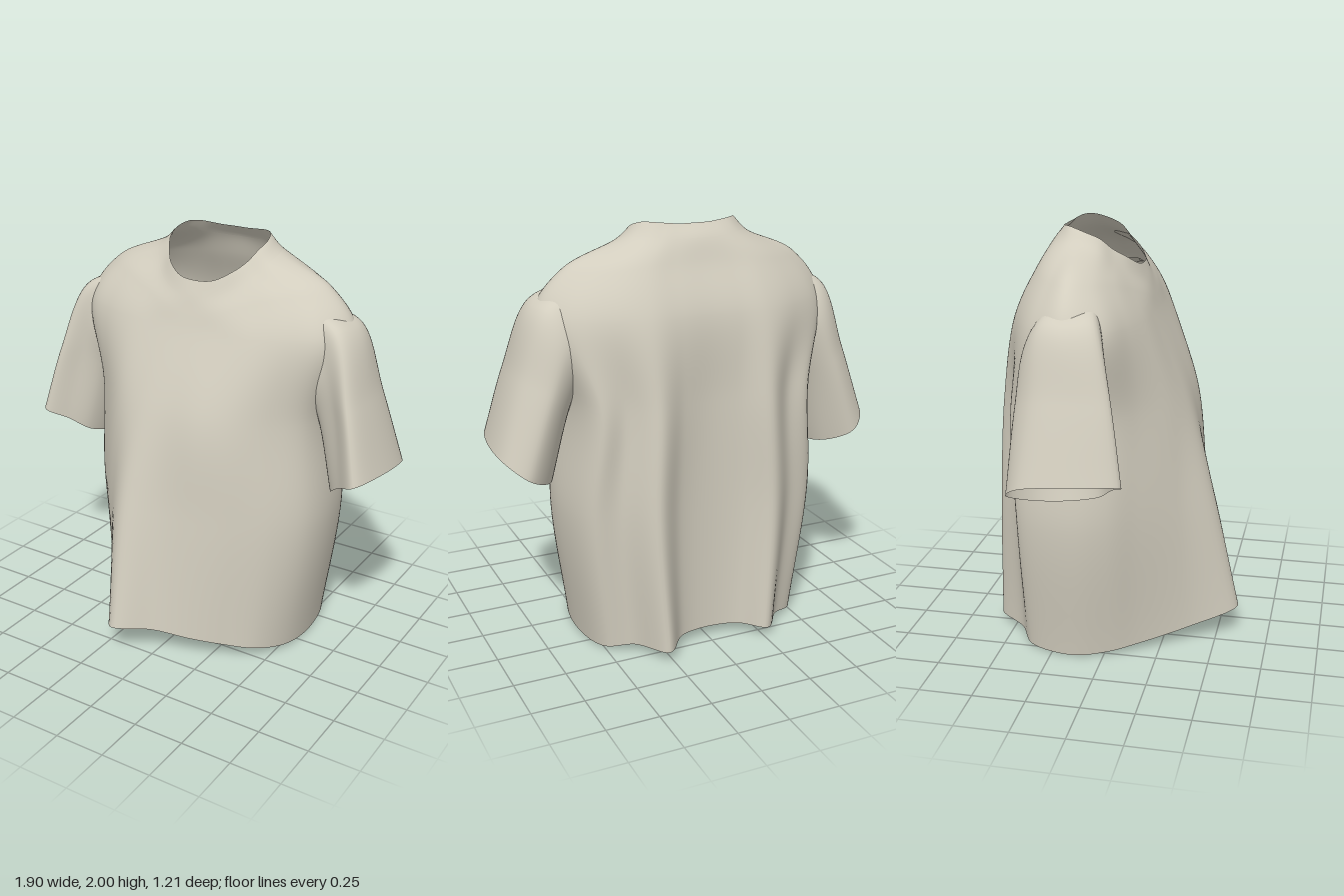
import * as THREE from 'three';

const V = (p) => new THREE.Vector3(...p);

// Smooth surface through closed rings, listed bottom to top, between ring indices from..to
function loft(rings, cols, rowsPerRing, from = 0, to = rings.length - 1) {
  const loops = rings.map((r) => new THREE.CatmullRomCurve3(r.map(V), true));
  const rows = Math.round((to - from) * rowsPerRing);
  const pos = [], index = [];
  for (let j = 0; j < cols; j++) {
    const column = new THREE.CatmullRomCurve3(loops.map((l) => l.getPoint(j / cols)));
    for (let i = 0; i <= rows; i++) {
      const t = (from + (i / rows) * (to - from)) / (rings.length - 1);
      pos.push(...column.getPoint(Math.min(t, 1)).toArray());
    }
  }
  const at = (j, i) => (j % cols) * (rows + 1) + i;
  for (let j = 0; j < cols; j++) {
    for (let i = 0; i < rows; i++) {
      const a = at(j, i), b = at(j + 1, i), c = at(j + 1, i + 1), d = at(j, i + 1);
      index.push(a, b, c, a, c, d);
    }
  }
  const g = new THREE.BufferGeometry();
  g.setAttribute('position', new THREE.Float32BufferAttribute(pos, 3));
  g.setIndex(index);
  g.computeVertexNormals();
  return g;
}

const flip = ([x, y, z]) => [-x, y, z];
// Completes a half ring that runs from front centre to back centre
const mirrored = (half) => [...half, ...half.slice(1, -1).reverse().map(flip)];
const level = (y, half) => mirrored(half.map(([x, z]) => [x, y, z]));

// Wavy bottom edge with an off-centre front fold and two deep back folds
const hem = [
  [0, 0.14, 0.5], [0.17, 0.11, 0.43], [0.3, 0.085, 0.36], [0.45, 0.05, 0.25], [0.535, 0.015, 0.08],
  [0.55, 0, -0.15], [0.5, 0.012, -0.36], [0.38, 0.035, -0.44], [0.27, 0.05, -0.605], [0.15, 0.05, -0.48],
  [0, 0.05, -0.45], [-0.15, 0.05, -0.48], [-0.26, 0.05, -0.58], [-0.38, 0.035, -0.44], [-0.5, 0.012, -0.36],
  [-0.55, 0, -0.15], [-0.51, 0.015, 0.02], [-0.44, 0.04, 0.16], [-0.31, 0.085, 0.38], [-0.17, 0.15, 0.6],
];
const chest = level(1.2, [
  [0, 0.335], [0.17, 0.33], [0.32, 0.28], [0.47, 0.165], [0.58, 0.04], [0.61, -0.14],
  [0.53, -0.42], [0.41, -0.44], [0.28, -0.53], [0.14, -0.475], [0, -0.455],
]);
// Waist: halfway between hem and chest, bulging sideways
const waist = hem.map((h, i) => {
  const [x, y, z] = h.map((v, k) => (v + chest[i][k]) / 2);
  return [x * 1.1, y + 0.06, z];
});
// Upper rings reach out over the sleeve heads
const upperChest = level(1.6, [
  [0, 0.175], [0.17, 0.17], [0.33, 0.155], [0.49, 0.11], [0.64, 0.035], [0.725, -0.13],
  [0.63, -0.3], [0.45, -0.41], [0.29, -0.46], [0.14, -0.455], [0, -0.45],
]);
const shoulders = mirrored([
  [0, 1.68, 0.145], [0.15, 1.69, 0.135], [0.28, 1.73, 0.09], [0.41, 1.77, 0.035], [0.53, 1.79, -0.04], [0.58, 1.805, -0.14],
  [0.51, 1.8, -0.24], [0.38, 1.81, -0.325], [0.26, 1.82, -0.36], [0.13, 1.82, -0.365], [0, 1.82, -0.365],
]);
const collarSeam = mirrored([
  [0, 1.745, 0.12], [0.11, 1.755, 0.105], [0.2, 1.795, 0.06], [0.26, 1.85, 0], [0.3, 1.9, -0.06], [0.31, 1.925, -0.14],
  [0.29, 1.935, -0.21], [0.23, 1.94, -0.27], [0.17, 1.935, -0.3], [0.09, 1.93, -0.315], [0, 1.93, -0.32],
]);
const neck = mirrored([
  [0, 1.81, 0.09], [0.09, 1.82, 0.08], [0.165, 1.86, 0.04], [0.21, 1.9, -0.015], [0.24, 1.95, -0.07], [0.25, 1.98, -0.14],
  [0.225, 2, -0.21], [0.185, 2, -0.245], [0.13, 1.995, -0.26], [0.07, 1.99, -0.268], [0, 1.99, -0.27],
]);

// Left sleeve rings: outer front, outer, outer back, back, inner back, inner, inner front, front
const cuff = [
  [0.88, 1.0, 0.16], [0.945, 1.01, -0.05], [0.93, 0.98, -0.28], [0.84, 0.91, -0.36],
  [0.72, 0.85, -0.27], [0.67, 0.84, -0.13], [0.7, 0.88, 0.02], [0.78, 0.95, 0.1],
];
const sleeveMiddle = [
  [0.8, 1.33, 0.1], [0.845, 1.34, -0.06], [0.82, 1.33, -0.25], [0.72, 1.28, -0.345],
  [0.62, 1.22, -0.28], [0.57, 1.2, -0.13], [0.61, 1.24, 0], [0.71, 1.3, 0.055],
];
const sleeveHead = [
  [0.7, 1.64, 0.02], [0.74, 1.64, -0.12], [0.7, 1.63, -0.25], [0.62, 1.5, -0.325],
  [0.53, 1.4, -0.28], [0.5, 1.34, -0.14], [0.54, 1.4, 0.02], [0.63, 1.52, 0.035],
];
// Last ring is tucked inside the shoulder
const tucked = sleeveHead.map(([x, y, z]) => [x - 0.15, y + 0.08, -0.13 + (z + 0.13) * 0.7]);

export function createModel() {
  const group = new THREE.Group();
  const fabric = new THREE.MeshStandardMaterial({ color: 0xd2cdbe, side: THREE.DoubleSide });
  fabric.name = 'warm grey fabric';
  const add = (name, geometry) => {
    const mesh = new THREE.Mesh(geometry, fabric);
    mesh.name = name;
    group.add(mesh);
  };

  // Body and neckband share one set of rings so they meet smoothly
  const torso = [hem, waist, chest, upperChest, shoulders, collarSeam, neck];
  add('body', loft(torso, 160, 12, 0, 5));
  add('collar', loft(torso, 160, 12, 5, 6));

  // Sleeves
  const sleeve = [cuff, sleeveMiddle, sleeveHead, tucked];
  add('leftSleeve', loft(sleeve, 64, 14));
  add('rightSleeve', loft(sleeve.map((r) => r.map(flip).reverse()), 64, 14));
  return group;
}
